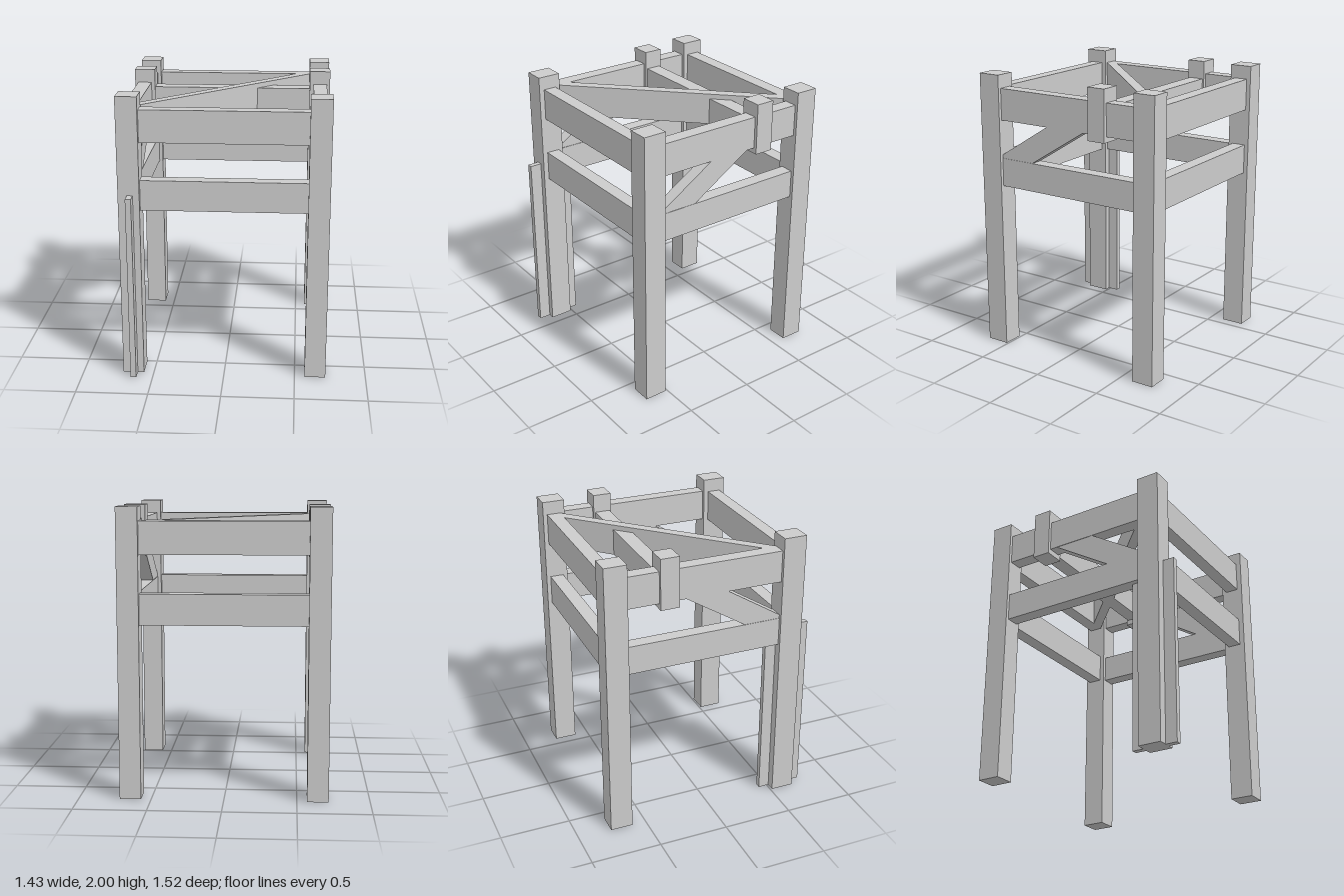
import * as THREE from 'three';

const material = new THREE.MeshStandardMaterial({ color: 0xcccccc });

export function createModel() {
  const model = new THREE.Group();
  model.name = 'timberFrame';

  const add = (name, geometry) => {
    const mesh = new THREE.Mesh(geometry, material);
    mesh.name = name;
    model.add(mesh);
    return mesh;
  };

  // Box given by its extents on each axis
  const beam = (name, [x0, x1], [y0, y1], [z0, z1]) =>
    add(name, new THREE.BoxGeometry(x1 - x0, y1 - y0, z1 - z0))
      .position.set((x0 + x1) / 2, (y0 + y1) / 2, (z0 + z1) / 2);

  // Flat outline with straight thickness
  const plank = (name, points, depth) =>
    add(name, new THREE.ExtrudeGeometry(
      new THREE.Shape(points.map(([a, b]) => new THREE.Vector2(a, b))),
      { depth, bevelEnabled: false }));

  const upper = [1.68, 1.905];
  const lower = [1.205, 1.417];
  const inner = [-0.57, 0.57];

  for (const side of [-1, 1]) {
    const label = side > 0 ? 'left' : 'right';
    const span = (a, b) => (side > 0 ? [a, b] : [-b, -a]);

    // Corner legs and the short post clamped to the side rail
    beam(label + 'FrontLeg', span(0.57, 0.717), [0, 2], [0.513, 0.677]);
    beam(label + 'BackLeg', span(0.57, 0.717), [0, 2], [-0.76, -0.6]);
    beam(label + 'ShortPost', span(0.57, 0.717), [1.64, 2], [-0.375, -0.242]);

    // Side rails
    beam(label + 'UpperRail', span(0.596, 0.693), upper, [-0.6, 0.513]);
    beam(label + 'LowerRail', span(0.596, 0.693), [1.205, 1.407], [-0.6, 0.513]);

    // Sloping brace between the side rails, outlined in (z, y)
    const brace = plank(label + 'Brace',
      [[0.513, 1.407], [0.513, 1.433], [0.12, 1.68], [-0.185, 1.68], [0.25, 1.407]], 0.09);
    brace.rotation.y = -Math.PI / 2;
    brace.position.x = side > 0 ? 0.69 : -0.6;
  }

  // Front and back rails, and the cross rail between the short posts
  for (const [label, z] of [['front', [0.547, 0.64]], ['back', [-0.73, -0.633]]]) {
    beam(label + 'UpperRail', inner, upper, z);
    beam(label + 'LowerRail', inner, lower, z);
  }
  beam('crossRail', inner, [1.68, 1.87], [-0.363, -0.255]);

  // Level diagonal board from the front right to the back left corner, outlined in (x, -z)
  const diagonal = plank('diagonalBoard',
    [[-0.596, -0.513], [0.57, 0.633], [0.465, 0.633], [-0.596, -0.415]], upper[1] - upper[0]);
  diagonal.rotation.x = -Math.PI / 2;
  diagonal.position.y = upper[0];

  // Thin strips on the front and rear of the front right leg
  beam('frontStrip', [-0.655, -0.615], [0, 1.32], [0.677, 0.76]);
  beam('rearStrip', [-0.655, -0.615], [0, 1.205], [0.435, 0.513]);

  return model;
}
